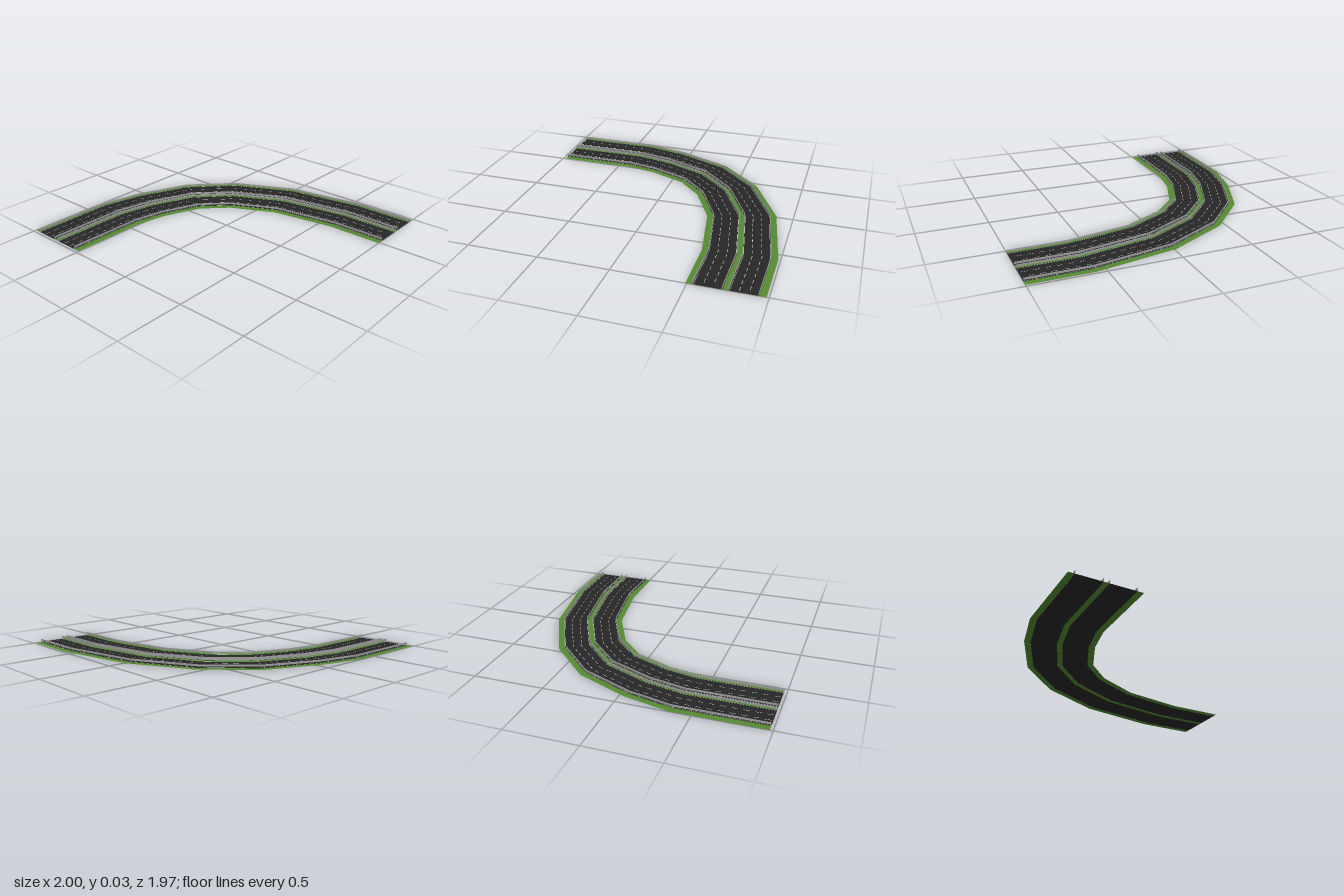
import * as THREE from 'three';
import { mergeGeometries } from 'three/addons/utils/BufferGeometryUtils.js';

// Matching stations [x, z] along the outer and inner borders of the bend
const OUTER = [[-1, 0.98], [-1, 0.36], [-0.925, 0.04], [-0.76, -0.345], [-0.46, -0.655], [-0.015, -0.88], [0.565, -0.985], [1, -0.985]];
const INNER = [[-0.505, 0.98], [-0.505, 0.415], [-0.46, 0.185], [-0.35, -0.083], [-0.18, -0.253], [0.13, -0.41], [0.6, -0.49], [1, -0.49]];

// Positions across the strip: 0 = outer border, 1 = inner border
const ROADS = [[0.09, 0.46], [0.535, 0.91]];
const VERGES = [[0, 0.09], [0.46, 0.535], [0.91, 1]];
const RAILS = [0.092, 0.458, 0.537, 0.908];
const ROAD_Y = 0.001, MARK_Y = 0.002;
const RAIL_LOW = 0.012, RAIL_TOP = 0.025, POST_GAP = 0.122;

const material = (color) => new THREE.MeshStandardMaterial({ color, flatShading: true, side: THREE.DoubleSide });

// Line that follows the bend at fraction f across the strip
function lineAt(f, y) {
  return OUTER.map(([x, z], i) => new THREE.Vector3(
    THREE.MathUtils.lerp(x, INNER[i][0], f), y, THREE.MathUtils.lerp(z, INNER[i][1], f)));
}

// Surface through a series of lines; the first line is repeated to close a tube
function loft(lines) {
  const pos = [];
  for (let k = 0; k < lines.length - 1; k++) {
    const a = lines[k], b = lines[k + 1];
    for (let i = 0; i < a.length - 1; i++) {
      for (const p of [a[i], b[i + 1], a[i + 1], a[i], b[i], b[i + 1]]) pos.push(p.x, p.y, p.z);
    }
  }
  const g = new THREE.BufferGeometry();
  g.setAttribute('position', new THREE.Float32BufferAttribute(pos, 3));
  g.computeVertexNormals();
  return g;
}

const ribbon = (f0, f1, y) => loft([lineAt(f1, y), lineAt(f0, y)]);

// Places copies of a small geometry along a line at even spacing
function alongLine(line, spacing, start, make) {
  const path = new THREE.CurvePath();
  for (let i = 0; i < line.length - 1; i++) path.add(new THREE.LineCurve3(line[i], line[i + 1]));
  const length = path.getLength(), out = [];
  for (let d = start; d <= length - start + 1e-6; d += spacing) {
    const u = Math.min(d / length, 1);
    const p = path.getPointAt(u), t = path.getTangentAt(Math.min(u, 0.9999));
    out.push(make().rotateY(Math.atan2(t.x, t.z)).translate(p.x, p.y, p.z));
  }
  return out;
}

export function createModel() {
  const group = new THREE.Group();
  const add = (name, geometries, mat) => {
    const mesh = new THREE.Mesh(mergeGeometries(geometries), mat);
    mesh.name = name;
    group.add(mesh);
  };
  const asphalt = material(0x262626), grass = material(0x568a32);
  const paint = material(0xe6e6e6), steel = material(0x999999);

  // Two carriageways, grass verges and central strip
  add('carriageways', ROADS.map(([a, b]) => ribbon(a, b, ROAD_Y)), asphalt);
  add('grassVerges', VERGES.map(([a, b]) => ribbon(a, b, ROAD_Y)), grass);

  // Solid edge lines and dashed lane dividers
  const edges = [], dashes = [];
  for (const [a, b] of ROADS) {
    edges.push(ribbon(a + 0.009, a + 0.014, MARK_Y), ribbon(b - 0.014, b - 0.009, MARK_Y));
    for (const k of [1 / 3, 2 / 3]) {
      const line = lineAt(a + (b - a) * k, MARK_Y);
      dashes.push(...alongLine(line, 0.073, 0.03, () => new THREE.PlaneGeometry(0.004, 0.04).rotateX(-Math.PI / 2)));
    }
  }
  add('edgeLines', edges, paint);
  add('laneDashes', dashes, paint);

  // Guard rails standing on posts along every carriageway edge
  const rails = [], posts = [];
  for (const f of RAILS) {
    const w = 0.004;
    rails.push(loft([[f - w, RAIL_LOW], [f - w, RAIL_TOP], [f + w, RAIL_TOP], [f + w, RAIL_LOW], [f - w, RAIL_LOW]]
      .map(([s, y]) => lineAt(s, y))));
    posts.push(...alongLine(lineAt(f, RAIL_TOP / 2 - 0.0015), POST_GAP, 0.002,
      () => new THREE.BoxGeometry(0.004, RAIL_TOP - 0.003, 0.004)));
  }
  add('guardRails', rails, steel);
  add('guardRailPosts', posts, steel);
  return group;
}
